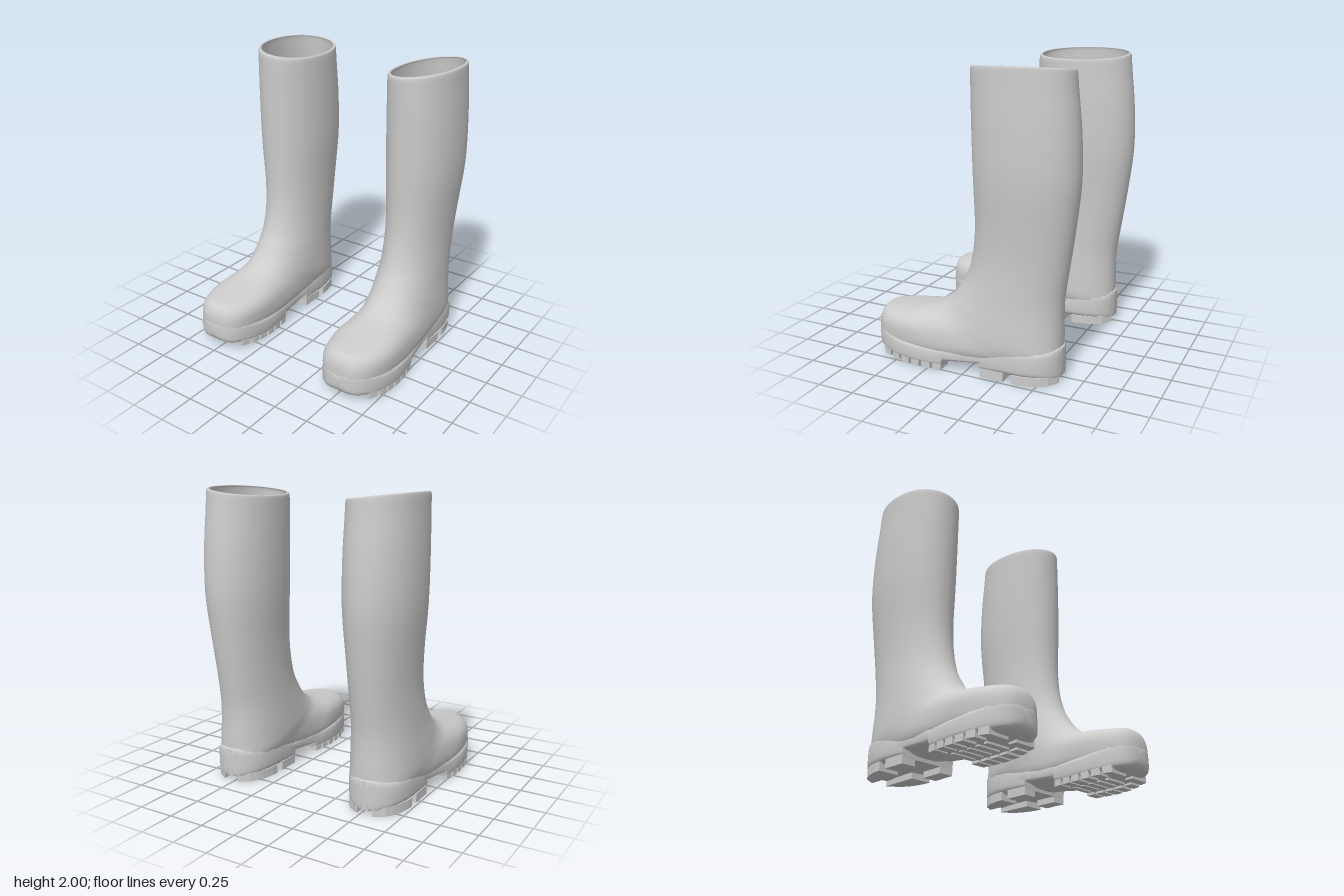
import * as THREE from 'three';
import { toCreasedNormals } from 'three/addons/utils/BufferGeometryUtils.js';

const SEG = 48;

// Upper, toe to rim: [front z, front y, back z, back y, half width, centre x, roundness]
const UPPER = [
  [.709, .215, .709, .165, .02, .53, 2],
  [.703, .262, .703, .12, .07, .53, 2.1],
  [.686, .30, .686, .09, .113, .53, 2.3],
  [.655, .326, .655, .07, .15, .53, 2.5],
  [.60, .336, .59, .06, .187, .533, 2.7],
  [.51, .347, .45, .05, .219, .537, 2.8],
  [.42, .36, .22, .05, .233, .538, 2.8],
  [.33, .378, -.08, .06, .222, .538, 2.7],
  [.26, .402, -.40, .08, .216, .533, 2.5],
  [.20, .438, -.59, .12, .22, .527, 2.4],
  [.15, .482, -.607, .25, .217, .525, 2.3],
  [.10, .55, -.605, .40, .21, .523, 2.2],
  [.045, .65, -.612, .55, .205, .523, 2.1],
  [.005, .80, -.642, .76, .203, .523, 2.1],
  [-.013, 1.0, -.675, 1.0, .213, .527, 2.1],
  [-.008, 1.3, -.706, 1.3, .235, .532, 2.1],
  [-.002, 1.6, -.698, 1.6, .238, .532, 2.1],
  [.002, 1.85, -.672, 1.85, .233, .53, 2.1],
  [.002, 1.945, -.662, 1.955, .231, .53, 2.1],
  [-.006, 1.968, -.655, 1.975, .226, .53, 2.1],
];

// Sole, toe to heel: [z, top y, bottom y, half width, centre x]
const SOLE = [
  [.711, .18, .10, .04, .53], [.703, .20, .075, .08, .53], [.686, .21, .055, .118, .53],
  [.66, .213, .043, .15, .53], [.60, .205, .031, .19, .533], [.50, .185, .021, .223, .537],
  [.40, .17, .016, .235, .538], [.33, .165, .015, .238, .538], [.22, .16, .015, .23, .539],
  [.155, .16, .018, .221, .539], [.145, .16, .055, .22, .539], [0, .165, .068, .206, .535],
  [-.118, .18, .083, .204, .53], [-.12, .18, .04, .204, .53], [-.20, .20, .04, .204, .53],
  [-.30, .228, .04, .207, .53], [-.40, .235, .04, .203, .53], [-.50, .237, .038, .178, .53],
  [-.56, .237, .033, .14, .53], [-.60, .236, .03, .092, .53], [-.617, .225, .035, .04, .53],
];

// Loft through superellipse sections, closed at both ends
function loft(sections, side) {
  const pos = [], idx = [];
  for (const [az, ay, bz, by, hw, cx, n, tilt = 0] of sections) {
    for (let j = 0; j < SEG; j++) {
      const a = j / SEG * Math.PI * 2, c = Math.cos(a), s = Math.sin(a);
      const u = Math.sign(c) * Math.abs(c) ** (2 / n);
      const v = Math.sign(s) * Math.abs(s) ** (2 / n);
      pos.push(side * cx + hw * v,
        (ay + by) / 2 + (ay - by) / 2 * u + tilt * side * v,
        (az + bz) / 2 + (az - bz) / 2 * u);
    }
  }
  const last = sections.length - 1;
  for (let i = 0; i < last; i++) for (let j = 0; j < SEG; j++) {
    const k = (j + 1) % SEG, a = i * SEG, b = a + SEG;
    idx.push(a + j, a + k, b + k, a + j, b + k, b + j);
  }
  for (const i of [0, last]) {
    const [az, ay, bz, by, , cx] = sections[i], m = pos.length / 3;
    pos.push(side * cx, (ay + by) / 2, (az + bz) / 2);
    for (let j = 0; j < SEG; j++) {
      const p = i * SEG + j, q = i * SEG + (j + 1) % SEG;
      idx.push(m, i ? p : q, i ? q : p);
    }
  }
  const g = new THREE.BufferGeometry();
  g.setAttribute('position', new THREE.Float32BufferAttribute(pos, 3));
  g.setIndex(idx);
  g.computeVertexNormals();
  return g;
}

// Smoothly resample the upper, then fold back inside as a lining
function upperSections() {
  const curve = f => new THREE.CatmullRomCurve3(
    UPPER.map(r => new THREE.Vector3(...f(r))), false, 'catmullrom', .5);
  const A = curve(r => [r[0], r[1], 0]), B = curve(r => [r[2], r[3], 0]);
  const W = curve(r => [r[4], r[5], r[6]]);
  const outer = [], N = 76, WALL = .014;
  for (let i = 0; i <= N; i++) {
    const t = i / N, a = A.getPoint(t), b = B.getPoint(t), w = W.getPoint(t);
    const tilt = .026 * THREE.MathUtils.smoothstep(a.y, 1.3, 1.95);
    outer.push([a.x, a.y, b.x, b.y, w.x, w.y, w.z, tilt]);
  }
  const inner = outer.slice(14).reverse().map(([az, ay, bz, by, hw, cx, n, tilt]) => {
    const d = WALL / Math.hypot(az - bz, ay - by), dz = (az - bz) * d, dy = (ay - by) * d;
    return [az - dz, ay - dy, bz + dz, by + dy, hw - WALL, cx, n, tilt];
  });
  return [...outer, ...inner];
}

// Sole half width and centre at a given z
function soleAt(z) {
  let i = 0;
  while (i < SOLE.length - 2 && SOLE[i + 1][0] > z) i++;
  const p = SOLE[i], q = SOLE[i + 1];
  const t = THREE.MathUtils.clamp((p[0] - z) / (p[0] - q[0]), 0, 1);
  return [3, 4].map(k => p[k] + (q[k] - p[k]) * t);
}

// Tread block that follows the sole outline on one edge
function lug(z0, z1, inner, y0, y1, side, edge) {
  const pts = [];
  for (let i = 0; i <= 6; i++) {
    const z = z0 + (z1 - z0) * i / 6, [hw, cx] = soleAt(z);
    pts.push(new THREE.Vector2(side * cx + edge * Math.max(hw * .98, inner + .004), -z));
  }
  for (const z of [z1, z0]) pts.push(new THREE.Vector2(side * soleAt(z)[1] + edge * inner, -z));
  const g = new THREE.ExtrudeGeometry(new THREE.Shape(pts), { depth: y1 - y0, bevelEnabled: false });
  return g.rotateX(-Math.PI / 2).translate(0, y0, 0);
}

export function createModel() {
  const model = new THREE.Group();
  model.name = 'rubberBoots';
  const rubber = new THREE.MeshStandardMaterial({ color: 0xcccccc });
  rubber.name = 'light grey rubber';

  for (const side of [1, -1]) {
    const boot = new THREE.Group();
    boot.name = side > 0 ? 'leftBoot' : 'rightBoot';
    const add = (name, geometry) => {
      const mesh = new THREE.Mesh(geometry, rubber);
      mesh.name = name;
      boot.add(mesh);
      return mesh;
    };

    add('shaftAndFoot', loft(upperSections(), side));
    const soleRows = SOLE.map(([z, top, bottom, hw, cx]) => [z, top, z, bottom, hw, cx, 5]);
    add('sole', toCreasedNormals(loft(soleRows, side), .8));

    for (const edge of [1, -1]) {
      // Forefoot lugs, rising towards the toe
      for (let i = 0; i < 6; i++) {
        const z = .155 + i * .079, y = Math.max(0, (z - .36) * .08);
        add('forefootLug', lug(z + .06, z, i === 5 ? .03 : .12, y, y + .05, side, edge));
      }
      // Heel lugs in front of and behind the side notch
      add('heelFrontLug', lug(-.122, -.285, .10, 0, .06, side, edge));
      add('heelBackLug', lug(-.345, -.61, .055, 0, .06, side, edge));
    }

    // Central tread bars under the ball of the foot
    for (let i = 0; i < 5; i++) {
      const bar = add('treadBar', new THREE.BoxGeometry(.17, .03, .025));
      bar.position.set(side * .538, .022, .21 + i * .07);
    }
    model.add(boot);
  }
  return model;
}
